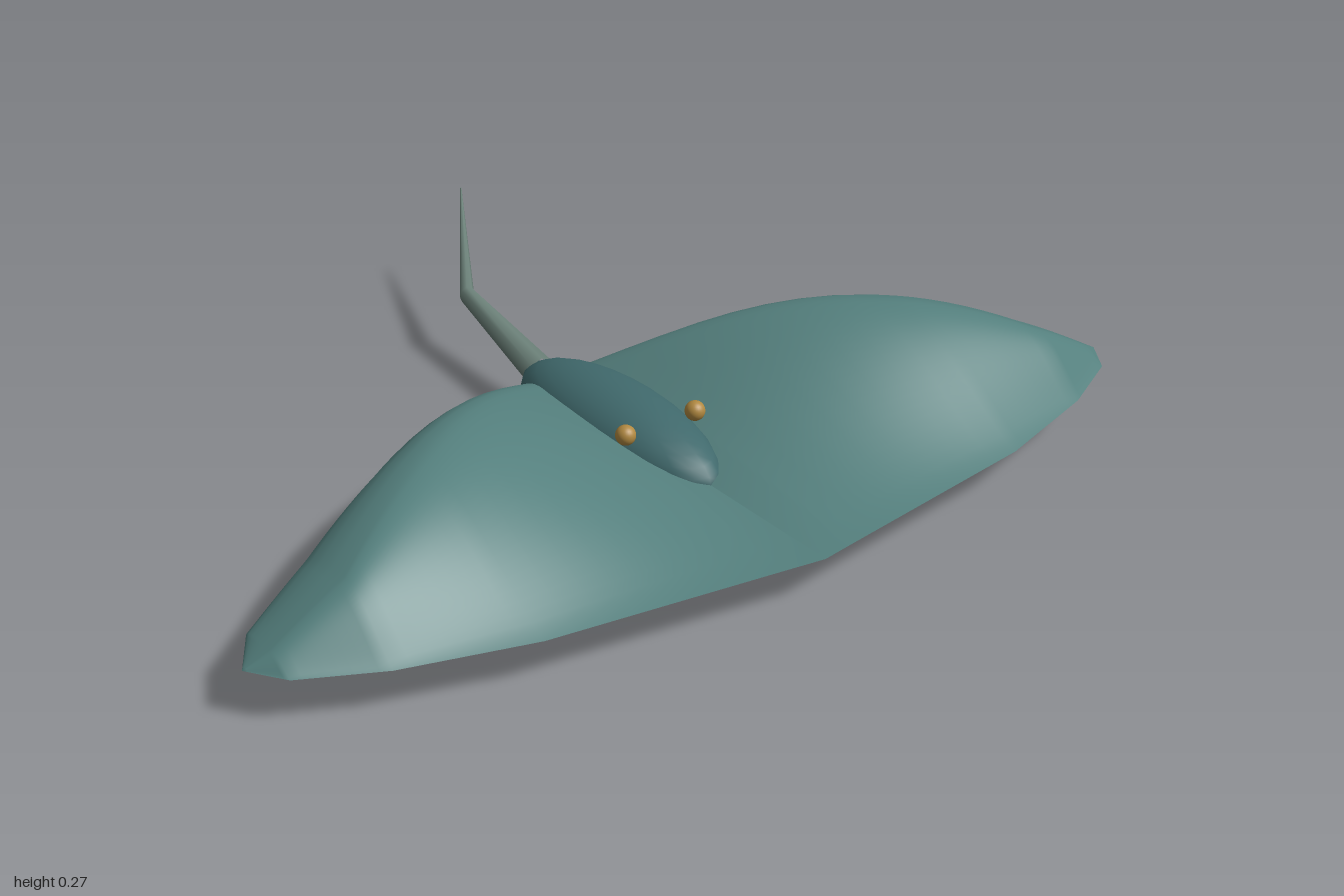
import * as THREE from 'three';
import { mergeVertices } from 'three/addons/utils/BufferGeometryUtils.js';

const mat = (color) => new THREE.MeshStandardMaterial({ color });
const { lerp } = THREE.MathUtils;
const BASE = 0.09; // height of the flat wing underside

// Smooth surface through equally long rows of [x, y, z] points
function loft(rows, flip = false) {
  const n = rows[0].length, index = [];
  for (let i = 0; i < rows.length - 1; i++) {
    for (let j = 0; j < n - 1; j++) {
      const a = i * n + j, b = a + n, c = a + 1, d = b + 1;
      if (flip) index.push(a, c, b, b, c, d);
      else index.push(a, b, c, b, d, c);
    }
  }
  const g = new THREE.BufferGeometry();
  g.setAttribute('position', new THREE.Float32BufferAttribute(rows.flat(2), 3));
  g.setIndex(index);
  const merged = mergeVertices(g, 1e-5);
  merged.computeVertexNormals();
  return merged;
}

// Wing stations: x, then z of the front edge, ridge, back edge and back of the flat underside
const STATIONS = [
  [0, 0.74, -0.06, -0.1, 0.1], [0.08, 0.728, -0.01, -0.08, 0.1], [0.55, 0.66, 0.29, 0.16, 0.235],
  [0.8, 0.585, 0.44, 0.29, 0.335], [0.95, 0.51, 0.45, 0.365, 0.4], [1, 0.44, 0.44, 0.44, 0.44],
];

// Half a wing section: gentle rise to the ridge, then a round back rolling under
function wingSection(front, ridge, back, under) {
  const points = [], STEPS = 20, ROUND = 6, BULGE = 0.35;
  for (let j = 0; j <= STEPS; j++) {
    const v = j / STEPS;
    points.push([Math.sin(Math.PI / 2 * v) ** 1.25, lerp(front, ridge, v)]);
  }
  for (let j = 1; j <= ROUND; j++) {
    const a = Math.PI / 2 * j / ROUND;
    points.push([lerp(BULGE, 1, Math.cos(a)), lerp(ridge, back, Math.sin(a))]);
  }
  for (let j = 1; j <= ROUND; j++) {
    const a = Math.PI / 2 * j / ROUND;
    points.push([BULGE * (1 - Math.sin(a)), lerp(under, back, Math.cos(a))]);
  }
  return points;
}

function wingGeometries(side) {
  const top = [], bottom = [], SUB = 8;
  for (let k = 0; k < STATIONS.length - 1; k++) {
    for (let s = k ? 1 : 0; s <= SUB; s++) {
      const [x, front, ridge, back, under] = STATIONS[k].map((v, i) => lerp(v, STATIONS[k + 1][i], s / SUB));
      const arch = 0.182 * Math.sin(Math.PI * x);
      top.push(wingSection(front, ridge, back, under).map(([h, z]) => [side * x, BASE + arch * h, z]));
      bottom.push([[side * x, BASE, under], [side * x, BASE, front]]);
    }
  }
  return [loft(top, side < 0), loft(bottom, side < 0)];
}

function ellipsoid(name, material, radii, position) {
  const mesh = new THREE.Mesh(new THREE.SphereGeometry(1, 24, 16), material);
  mesh.name = name;
  mesh.scale.set(...radii);
  mesh.position.set(...position);
  return mesh;
}

export function createModel() {
  const model = new THREE.Group();
  model.name = 'ray';
  const skin = mat(0x547f7d), tailSkin = mat(0x6b8078), gold = mat(0xb08840);

  // Body
  model.add(ellipsoid('body', mat(0x40696c), [0.11, 0.087, 0.29], [0, 0.087, 0.13]));

  // Wings and eyes, mirrored
  for (const [side, label] of [[1, 'left'], [-1, 'right']]) {
    const wing = new THREE.Group();
    wing.name = label + 'Wing';
    wingGeometries(side).forEach((g, i) => {
      const mesh = new THREE.Mesh(g, skin);
      mesh.name = label + (i ? 'WingUnderside' : 'WingTop');
      wing.add(mesh);
    });
    model.add(wing);
    model.add(ellipsoid(label + 'Eye', gold, [0.02, 0.02, 0.02], [side * 0.083, 0.155, 0.265]));
  }

  // Tail: tapering rings with one bend
  const spine = [
    [0.003, 0.094, -0.13, 0.034], [0.037, 0.138, -0.45, 0.018], [0.22, 0.236, -0.745, 0.002],
  ];
  const rings = spine.map(([x, y, z, r]) => Array.from({ length: 9 }, (_, j) => {
    const a = (j / 8) * Math.PI * 2;
    return [x + r * Math.cos(a), y + r * Math.sin(a), z];
  }));
  const tip = Array(9).fill(spine[2].slice(0, 3));
  const tail = new THREE.Mesh(loft([...rings, tip]), tailSkin);
  tail.name = 'tail';
  model.add(tail);

  return model;
}
